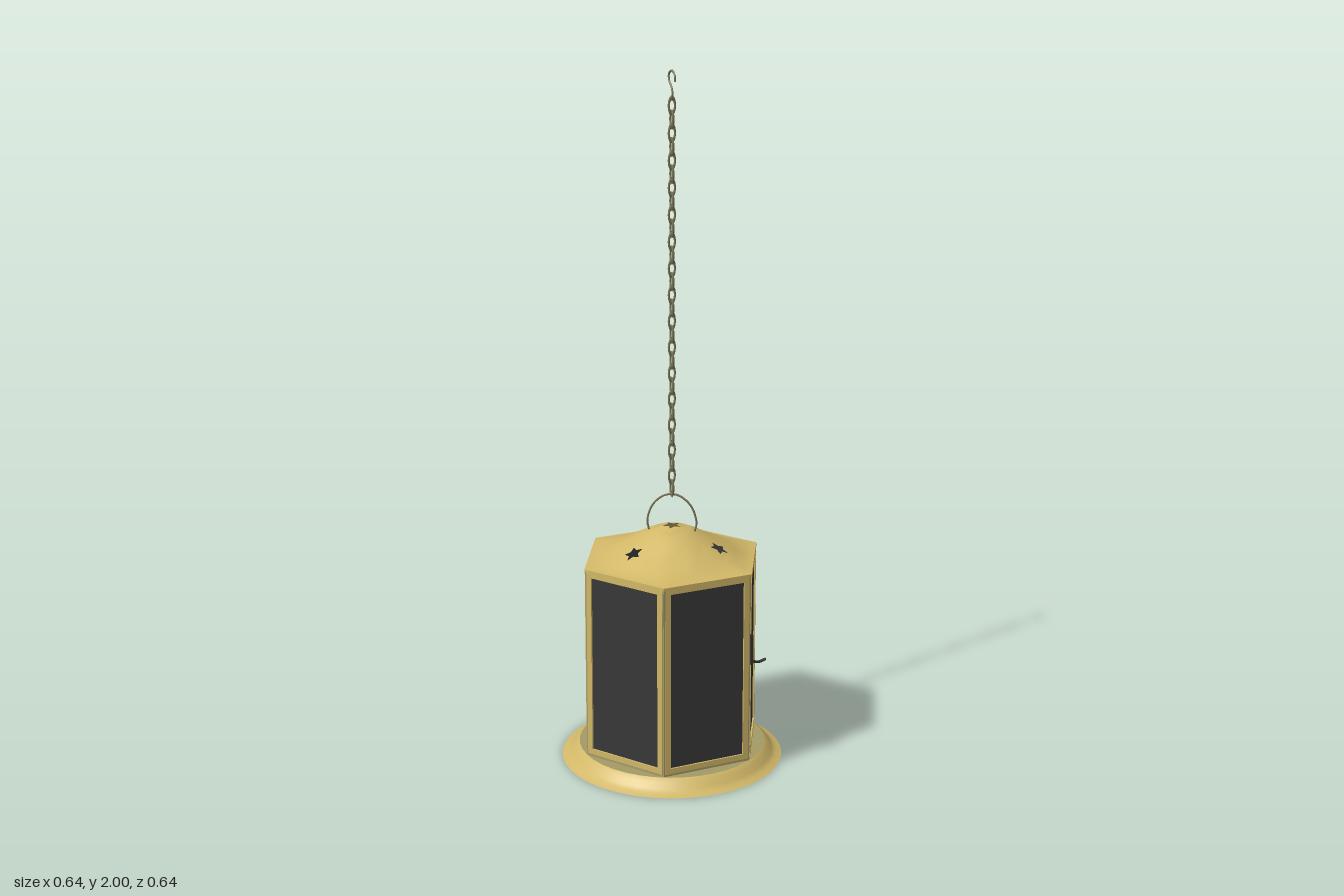
import * as THREE from 'three';
import { mergeGeometries, mergeVertices } from 'three/addons/utils/BufferGeometryUtils.js';

const DS = THREE.DoubleSide;
const makeMat = (name, color, side = THREE.FrontSide) => {
  const m = new THREE.MeshStandardMaterial({ color, side });
  m.name = name;
  return m;
};

export function createModel() {
  const brass = makeMat('brass', 0xd2b868, DS);
  const tarnished = makeMat('tarnished brass', 0xa59b66, DS);
  const glass = makeMat('dark glass', 0x383838, DS);
  const iron = makeMat('dark iron', 0x35332c);
  const wire = makeMat('chain metal', 0x7d7658);

  const model = new THREE.Group();
  model.name = 'hangingLantern';
  const add = (name, geo, mat, parent = model) => {
    const mesh = new THREE.Mesh(geo, mat);
    mesh.name = name;
    parent.add(mesh);
    return mesh;
  };
  const tube = (pts, r, segs = 40) => new THREE.TubeGeometry(
    new THREE.CatmullRomCurve3(pts.map(p => new THREE.Vector3(...p))), segs, r, 6);

  // Flared base dish, open underneath, with a floor
  const dish = [[0.322, 0.003], [0.305, 0.009], [0.293, 0.018], [0.283, 0.033], [0.27, 0.042]];
  add('baseRim', new THREE.LatheGeometry(dish.map(p => new THREE.Vector2(...p)), 40), brass);
  add('floorTop', new THREE.CircleGeometry(0.271, 40).rotateX(-Math.PI / 2), tarnished).position.y = 0.043;
  add('floorUnderside', new THREE.CircleGeometry(0.271, 40).rotateX(Math.PI / 2), brass).position.y = 0.037;
  add('floorNut', new THREE.TorusGeometry(0.014, 0.004, 6, 12).rotateX(Math.PI / 2), brass).position.y = 0.037;

  // Six glazed sides: outer post frame, inner brass frame, pane
  const y0 = 0.043, y1 = 0.611, apothem = 0.234;
  const rect = (P, hw, lo, hi) => new P([[-hw, lo], [hw, lo], [hw, hi], [-hw, hi]].map(p => new THREE.Vector2(...p)));
  const frame = (hw, lo, hi, w, depth) => {
    const s = rect(THREE.Shape, hw, lo, hi);
    s.holes.push(rect(THREE.Path, hw - w, lo + w, hi - w));
    return new THREE.ExtrudeGeometry(s, { depth, bevelEnabled: false });
  };
  const outerFrame = frame(0.135, y0, y1, 0.012, 0.008);
  const innerFrame = frame(0.13, y0 + 0.007, y1 - 0.006, 0.016, 0.01);
  const pane = new THREE.PlaneGeometry(0.236, y1 - y0 - 0.03);
  for (let i = 0; i < 6; i++) {
    const side = new THREE.Group();
    side.name = 'lanternSide';
    side.rotation.y = i * Math.PI / 3;
    add('postFrame', outerFrame, tarnished, side).position.z = apothem - 0.008;
    add('brassFrame', innerFrame, brass, side).position.z = apothem - 0.008;
    add('glassPane', pane, glass, side).position.set(0, (y0 + y1) / 2, apothem - 0.003);
    model.add(side);
  }

  // Door latch on the front corner
  add('latchBar', new THREE.BoxGeometry(0.008, 0.09, 0.008), iron).position.set(0.138, 0.385, 0.236);
  add('latchLever', tube([[0.138, 0.35, 0.235], [0.16, 0.343, 0.235], [0.184, 0.348, 0.235]], 0.004, 10), iron);

  // Roof: domed height by radius, with star cut-outs, blending to a hexagon
  const dome = [[0, 0.705], [0.03, 0.703], [0.056, 0.693], [0.08, 0.682], [0.112, 0.665], [0.14, 0.651], [0.172, 0.635]];
  const height = r => {
    const i = Math.max(1, dome.findIndex(p => p[0] >= r - 1e-6));
    const [a, b] = [dome[i - 1], dome[i]];
    return a[1] + (b[1] - a[1]) * Math.min(1, (r - a[0]) / (b[0] - a[0]));
  };
  const hexR = a => {
    const s = Math.PI / 3, m = ((a % s) + s) % s;
    return 0.273 * Math.cos(s / 2) / Math.cos(m - s / 2);
  };
  const band = (rings, at) => {
    const g = new THREE.PlaneGeometry(1, 1, 72, rings), p = g.attributes.position;
    for (let i = 0; i < p.count; i++) {
      const a = (p.getX(i) + 0.5) * Math.PI * 2;
      const [r, y] = at(p.getY(i) + 0.5, a);
      p.setXYZ(i, Math.cos(a) * r, y, Math.sin(a) * r);
    }
    return g;
  };
  const arc = (r, from, to, n) => Array.from({ length: n + 1 }, (_, i) => {
    const a = from + (to - from) * i / n;
    return new THREE.Vector2(Math.cos(a) * r, Math.sin(a) * r);
  });
  const star = (cx, cy, R, turn) => new THREE.Path(Array.from({ length: 10 }, (_, i) => {
    const a = turn - i * Math.PI / 5, r = i % 2 ? R * 0.5 : R;
    return new THREE.Vector2(cx + Math.cos(a) * r, cy + Math.sin(a) * r);
  }));
  const lift = shape => {
    const g = new THREE.ShapeGeometry(shape).rotateX(-Math.PI / 2), p = g.attributes.position;
    for (let i = 0; i < p.count; i++) p.setY(i, height(Math.hypot(p.getX(i), p.getZ(i))));
    return g;
  };
  const parts = [
    band(4, t => { const r = 0.056 + 0.056 * t; return [r, height(r)]; }),
    band(6, (t, a) => [0.172 + (hexR(a) - 0.172) * t, 0.611 + 0.024 * Math.pow(1 - t, 1.6)]),
  ];
  for (let k = 0; k < 12; k++) {
    const a = k * Math.PI / 6, b = a + Math.PI / 6, mid = (a + b) / 2;
    const sector = new THREE.Shape([...arc(0.172, a, b, 6), ...arc(0.112, b, a, 6)]);
    if (k % 4 === 2) sector.holes.push(star(Math.cos(mid) * 0.142, Math.sin(mid) * 0.142, 0.027, mid + 0.2));
    parts.push(lift(sector));
  }
  const cap = new THREE.Shape(arc(0.056, 0, Math.PI * 2, 72).slice(0, 72));
  cap.holes.push(star(0, 0, 0.029, 0.3));
  parts.push(lift(cap));
  for (const g of parts) { g.deleteAttribute('normal'); g.deleteAttribute('uv'); }
  const roof = mergeVertices(mergeGeometries(parts), 1e-4);
  roof.computeVertexNormals();
  add('roof', roof, brass);

  // Thin folded edge under the roof
  add('roofEdge', new THREE.CylinderGeometry(0.273, 0.273, 0.008, 6, 1, true).rotateY(Math.PI / 6).toNonIndexed(), brass).position.y = 0.607;
  model.children.at(-1).geometry.computeVertexNormals();

  // Wire handle
  add('handle', tube([[-0.066, 0.688, 0], [-0.071, 0.715, 0], [-0.056, 0.762, 0], [-0.025, 0.791, 0], [0, 0.797, 0],
    [0.025, 0.791, 0], [0.056, 0.762, 0], [0.071, 0.715, 0], [0.066, 0.688, 0]], 0.003), wire)
    .rotation.y = -Math.atan2(0.04, 0.06);

  // Chain of alternating links
  const link = new THREE.TorusGeometry(0.0095, 0.0032, 6, 14).scale(1, 2.2, 1);
  for (let i = 0; i < 30; i++) {
    const l = add('chainLink', link, wire);
    l.position.y = 0.815 + 0.0375 * i;
    l.rotation.y = i % 2 ? 0 : Math.PI / 2;
  }

  // Top hook
  add('hook', tube([[0, 1.968, 0.02], [0, 1.985, 0.019], [0, 1.997, 0], [0, 1.985, -0.019], [0, 1.967, -0.016],
    [0, 1.952, -0.002], [0, 1.935, 0.004], [0, 1.921, 0.001]], 0.003), wire);
  return model;
}
